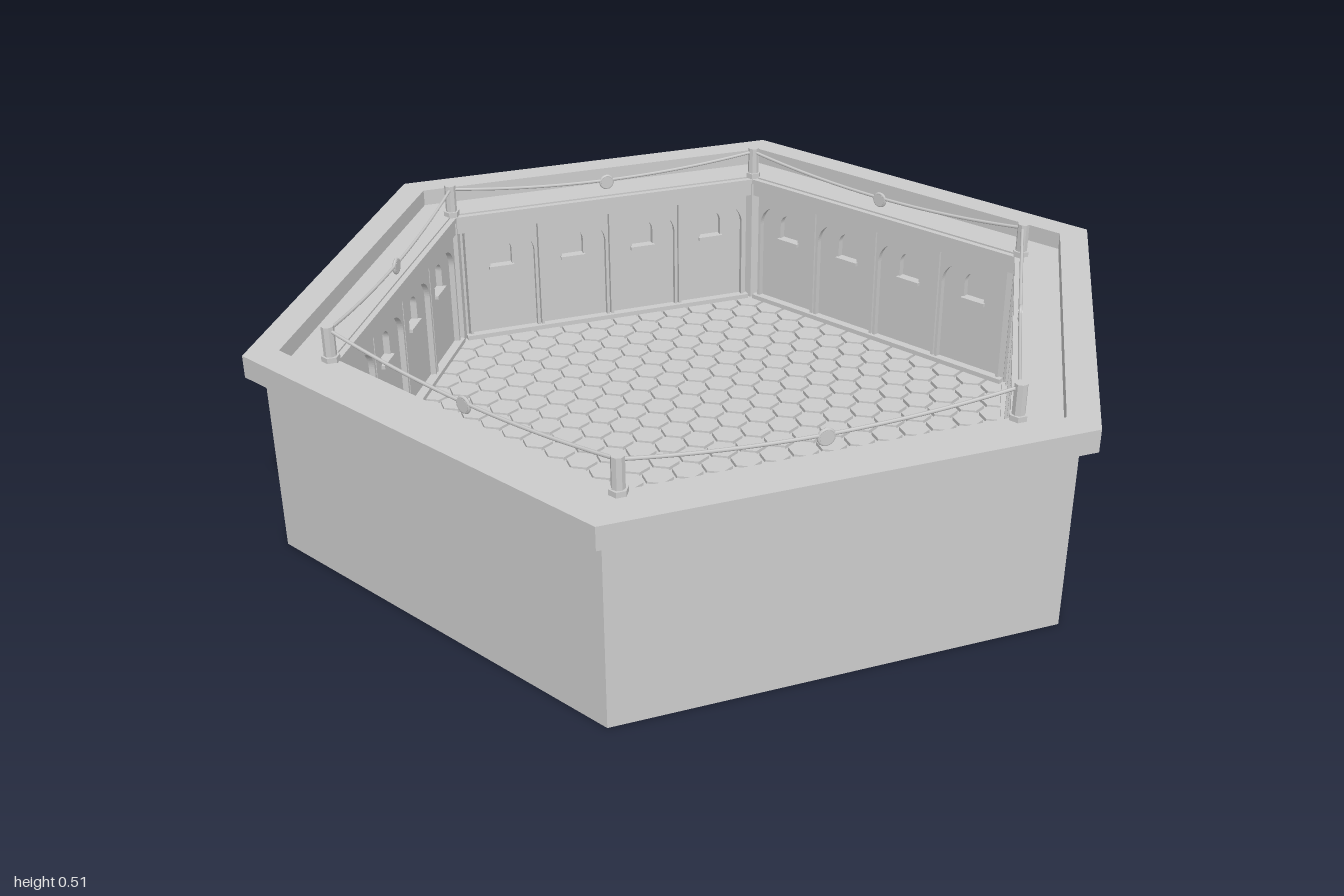
import * as THREE from 'three';

const flat = new THREE.MeshStandardMaterial({ color: 0xcccccc, flatShading: true });
const smooth = new THREE.MeshStandardMaterial({ color: 0xcccccc });

function add(parent, name, geometry, x = 0, y = 0, z = 0, material = flat) {
  const mesh = new THREE.Mesh(geometry, material);
  mesh.name = name;
  mesh.position.set(x, y, z);
  parent.add(mesh);
  return mesh;
}

// Hexagon outline, counter-clockwise, with corners on +z and -z
function hexagon(path, radius) {
  for (let i = 0; i <= 6; i++) {
    const a = i * Math.PI / 3;
    const x = -radius * Math.sin(a), y = radius * Math.cos(a);
    if (i) path.lineTo(x, y);
    else path.moveTo(x, y);
  }
  return path;
}

function hexRing(outer, inner, y0, y1) {
  const shape = hexagon(new THREE.Shape(), outer);
  if (inner) shape.holes.push(hexagon(new THREE.Path(), inner));
  const geometry = new THREE.ExtrudeGeometry(shape, { depth: y1 - y0, bevelEnabled: false });
  return geometry.rotateX(-Math.PI / 2).translate(0, y0, 0);
}

// Upright outline with rounded shoulders
function arch(path, width, y0, y1, r) {
  const h = width / 2;
  path.moveTo(-h, y0);
  path.lineTo(h, y0);
  path.lineTo(h, y1 - r);
  path.absarc(h - r, y1 - r, r, 0, Math.PI / 2, false);
  path.lineTo(-h + r, y1);
  path.absarc(-h + r, y1 - r, r, Math.PI / 2, Math.PI, false);
  path.lineTo(-h, y0);
  return path;
}

// Rectangular slab pierced by one arched opening
function piercedSlab(width, y0, y1, opening, depth) {
  const h = width / 2;
  const shape = new THREE.Shape([[-h, y0], [h, y0], [h, y1], [-h, y1]].map(p => new THREE.Vector2(...p)));
  shape.holes.push(opening);
  return new THREE.ExtrudeGeometry(shape, { depth, bevelEnabled: false, curveSegments: 8 });
}

export function createModel() {
  const model = new THREE.Group();
  model.name = 'hexagonalHall';

  // Outer shell, coping and inner ledge
  add(model, 'outerWall', hexRing(0.96, 0.925, 0, 0.42));
  add(model, 'coping', hexRing(1, 0.925, 0.42, 0.47));
  add(model, 'innerLedge', hexRing(0.925, 0.822, 0.405, 0.43));

  // Floor slab and honeycomb tiles
  add(model, 'floorSlab', hexRing(0.825, 0, 0.058, 0.07));
  const pitch = 0.0715, column = pitch * Math.sqrt(3) / 2, limit = 0.69;
  const spots = [];
  for (let i = -12; i <= 12; i++) {
    for (let j = -13; j <= 13; j++) {
      const x = i * column, z = (j + (i % 2 ? 0.5 : 0)) * pitch;
      const reach = Math.max(Math.abs(x), Math.abs(x) / 2 + Math.abs(z) * Math.sqrt(3) / 2);
      if (reach < limit) spots.push([x, z]);
    }
  }
  const tile = new THREE.CylinderGeometry(0.0365, 0.0365, 0.01, 6).rotateY(Math.PI / 6);
  const tiles = new THREE.Group();
  tiles.name = 'floorTiles';
  model.add(tiles);
  for (const [x, z] of spots) add(tiles, 'floorTile', tile, x, 0.074, z);

  // Shared wall parts
  const bay = 0.193;
  const frame = piercedSlab(bay - 0.004, 0.025, 0.39, arch(new THREE.Path(), 0.174, 0.09, 0.362, 0.06), 0.014);
  const panel = piercedSlab(bay - 0.004, 0.025, 0.39, arch(new THREE.Path(), 0.058, 0.272, 0.342, 0.0289), 0.016);
  const nicheBack = new THREE.BoxGeometry(0.08, 0.1, 0.004);
  const sill = new THREE.BoxGeometry(0.066, 0.009, 0.012);
  const rope = new THREE.TubeGeometry(new THREE.QuadraticBezierCurve3(
    new THREE.Vector3(-0.41, 0.5, 0.71),
    new THREE.Vector3(0, 0.444, 0.71),
    new THREE.Vector3(0.41, 0.5, 0.71)), 24, 0.004, 6);

  for (let i = 0; i < 6; i++) {
    // One side, built facing its own +z and turned into place
    const side = new THREE.Group();
    side.name = 'side' + (i + 1);
    side.rotation.y = Math.PI / 6 + i * Math.PI / 3;
    model.add(side);
    for (let k = 0; k < 4; k++) {
      const x = (k - 1.5) * bay;
      add(side, 'archFrame', frame, x, 0, 0.704);
      add(side, 'archPanel', panel, x, 0, 0.718);
      add(side, 'nicheBack', nicheBack, x, 0.305, 0.736);
      add(side, 'nicheSill', sill, x, 0.268, 0.715);
    }
    add(side, 'baseboard', new THREE.BoxGeometry(0.79, 0.016, 0.016), 0, 0.083, 0.703);
    add(side, 'frieze', new THREE.BoxGeometry(0.808, 0.034, 0.03), 0, 0.397, 0.717);
    add(side, 'cornice', new THREE.BoxGeometry(0.806, 0.012, 0.02), 0, 0.42, 0.708);

    // Sagging rope with a round medallion at its middle
    add(side, 'rope', rope, 0, 0, 0, smooth);
    add(side, 'medallion', new THREE.CylinderGeometry(0.015, 0.015, 0.008, 16).rotateX(Math.PI / 2), 0, 0.467, 0.71);
    add(side, 'medallionRim', new THREE.TorusGeometry(0.016, 0.004, 6, 16), 0, 0.467, 0.71, smooth);

    // Corner pillar and rope post
    const corner = new THREE.Group();
    corner.name = 'corner' + (i + 1);
    corner.rotation.y = i * Math.PI / 3;
    model.add(corner);
    add(corner, 'cornerPillar', new THREE.CylinderGeometry(0.02, 0.02, 0.39, 6), 0, 0.22, 0.827);
    add(corner, 'postBase', new THREE.CylinderGeometry(0.02, 0.02, 0.014, 6), 0, 0.435, 0.822);
    add(corner, 'ropePost', new THREE.CylinderGeometry(0.014, 0.014, 0.085, 8), 0, 0.4675, 0.822);
  }
  return model;
}
